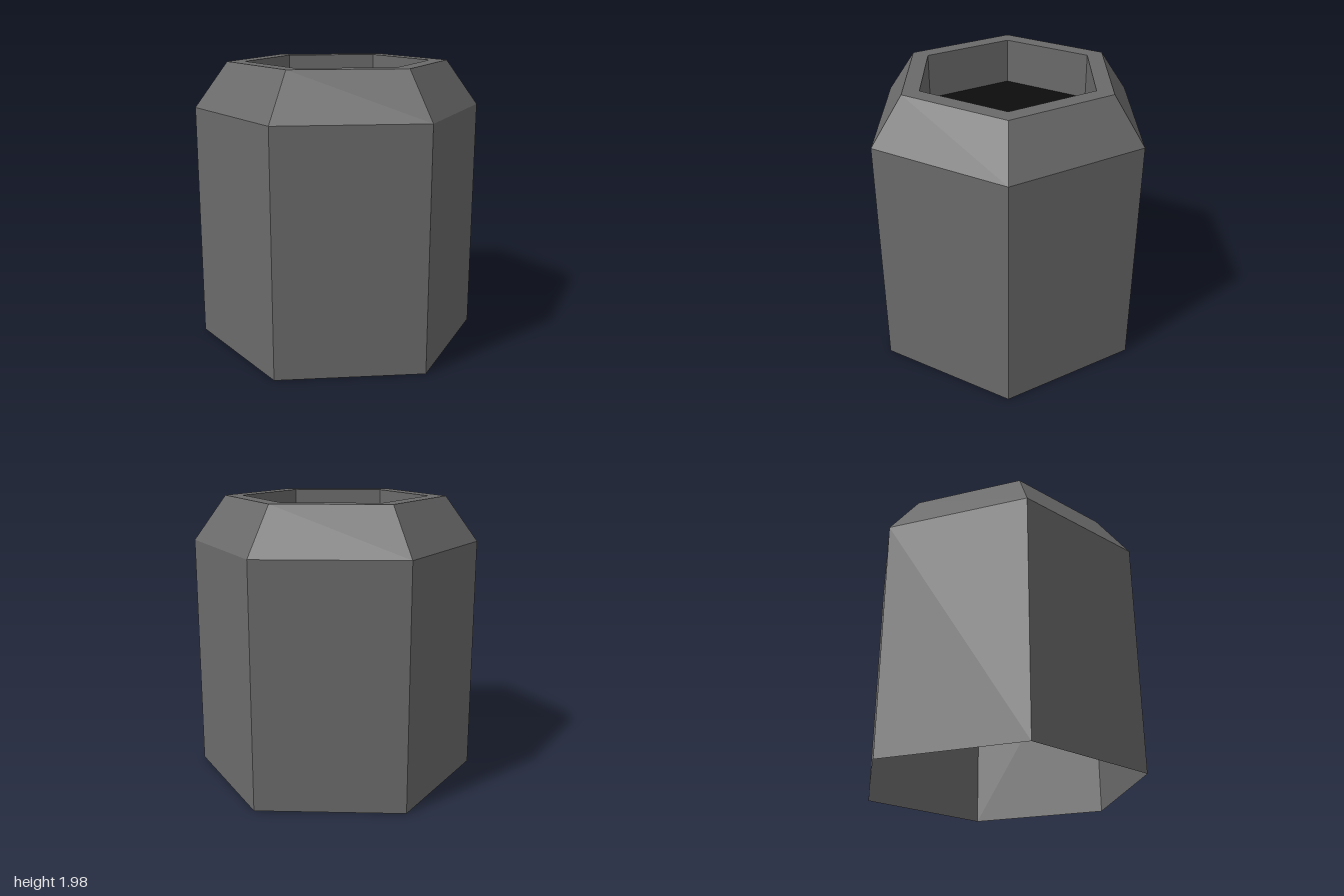
import * as THREE from 'three';

const SIDES = 6;
const TURN = -0.01; // slight twist of the hexagon about y

export function createModel() {
  const group = new THREE.Group();
  group.name = 'hexagonalSocket';

  const grey = new THREE.MeshStandardMaterial({ color: 0x6a6a6a, side: THREE.DoubleSide, flatShading: true });
  grey.name = 'grey';
  const black = new THREE.MeshStandardMaterial({ color: 0x0d0d0d, side: THREE.DoubleSide, flatShading: true });
  black.name = 'black';

  // Each section is a list of [radius, height] swept around six sides
  const addShell = (name, profile) => {
    const points = profile.map(([r, y]) => new THREE.Vector2(r, y));
    const mesh = new THREE.Mesh(new THREE.LatheGeometry(points, SIDES, TURN, Math.PI * 2), grey);
    mesh.name = name;
    group.add(mesh);
  };

  addShell('outerWall', [[1, 0], [1, 1.665]]); // open underneath
  addShell('bevel', [[1, 1.665], [0.77, 1.98]]);
  addShell('topRim', [[0.77, 1.98], [0.645, 1.98]]);
  addShell('recessWall', [[0.645, 1.98], [0.645, 1.66]]);

  // Dark floor of the recess
  const floor = new THREE.Mesh(new THREE.CircleGeometry(0.645, SIDES, TURN - Math.PI / 2), black);
  floor.name = 'recessFloor';
  floor.rotation.x = -Math.PI / 2;
  floor.position.y = 1.66;
  group.add(floor);

  return group;
}
